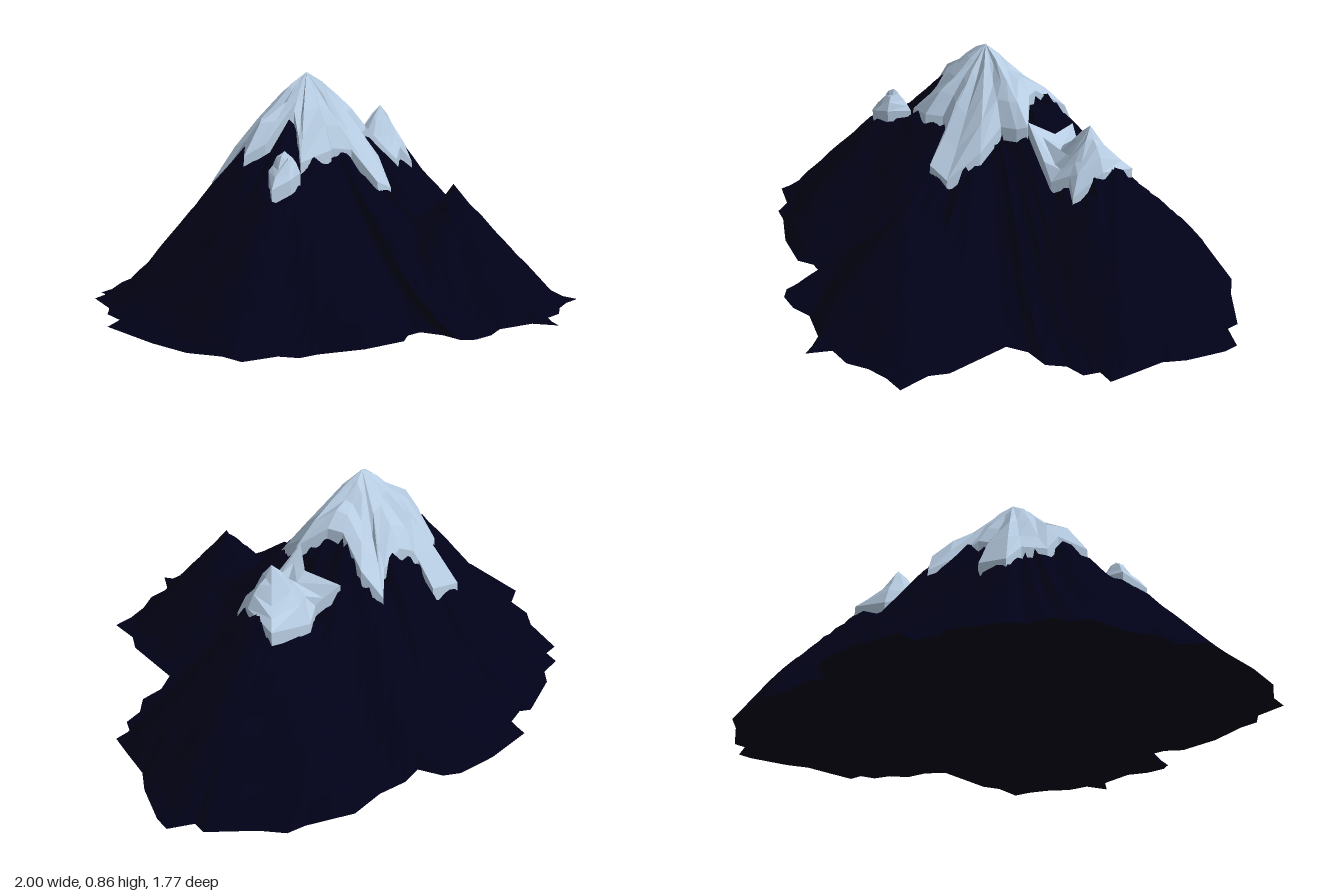
import * as THREE from 'three';

const PEAK = [-0.14, -0.11];

// Foot of the mountain as x, z pairs, clockwise from above
const FOOT = pairs([
  -0.32, -0.87, -0.13, -0.89, 0.02, -0.88, 0.08, -0.85, 0.13, -0.77, 0.21, -0.79, 0.32, -0.78, 0.45, -0.8,
  0.62, -0.74, 0.69, -0.73, 0.76, -0.66, 0.91, -0.55, 0.91, -0.5, 1, -0.46, 1, -0.4, 0.96, -0.25,
  0.92, -0.17, 0.91, -0.05, 0.9, 0.05, 0.84, 0.05, 0.82, 0.11, 0.75, 0.13, 0.7, 0.19, 0.61, 0.2,
  0.54, 0.25, 0.55, 0.5, 0.52, 0.57, 0.53, 0.69, 0.45, 0.7, 0.37, 0.73, 0.3, 0.78, 0.21, 0.79,
  0.17, 0.88, 0.12, 0.8, -0.02, 0.77, -0.1, 0.8, -0.18, 0.8, -0.22, 0.77, -0.22, 0.69, -0.25, 0.61,
  -0.31, 0.61, -0.37, 0.65, -0.53, 0.63, -0.68, 0.57, -0.75, 0.56, -0.79, 0.5, -0.91, 0.47, -0.92, 0.38,
  -0.98, 0.27, -1, 0.1, -1, -0.18, -0.92, -0.23, -0.91, -0.33, -0.86, -0.4, -0.82, -0.57, -0.76, -0.58,
  -0.75, -0.64, -0.66, -0.66, -0.62, -0.71, -0.44, -0.79, -0.4, -0.77, -0.31, -0.8,
]);

// Snow fields: summit point and ragged edge
const SNOW = [
  { name: 'mainSnowCap', top: PEAK, edge: pairs([
    -0.37, -0.42, -0.24, -0.42, -0.24, -0.33, -0.15, -0.32, -0.06, -0.34, 0.01, -0.42, 0.06, -0.35,
    0.04, -0.22, 0.07, -0.17, 0.16, -0.1, 0.13, -0.07, 0.07, -0.04, 0.08, 0.06, 0.03, 0.18, -0.06, 0.2,
    -0.1, 0.1, -0.17, 0.07, -0.22, 0.12, -0.35, 0.1, -0.3, 0.03, -0.28, -0.02, -0.4, -0.04,
    -0.47, -0.08, -0.4, -0.16, -0.41, -0.24, -0.34, -0.3]) },
  { name: 'secondSnowCap', top: [0.37, -0.23], edge: pairs([
    0.14, -0.33, 0.23, -0.3, 0.3, -0.36, 0.47, -0.36, 0.47, -0.22, 0.44, -0.11, 0.39, -0.13,
    0.33, -0.09, 0.27, -0.1, 0.15, -0.11, 0.2, -0.2]) },
  { name: 'smallSnowCap', top: [-0.45, 0.13], edge: pairs([
    -0.55, 0.18, -0.5, 0.1, -0.42, 0.09, -0.37, 0.1, -0.42, 0.18, -0.48, 0.2]) },
];

// Side summits: x, z, height, slope, extra steepness towards the front
const SUMMITS = [
  [0.37, -0.23, 0.67, 1.3, 1.25], [0.46, -0.28, 0.59, 1.15, 1.1], [0.13, 0.41, 0.455, 1.15, 1],
  [-0.45, 0.13, 0.57, 1.1, 1], [-0.29, 0.1, 0.61, 1.6, 1], [-0.24, 0.05, 0.68, 1.6, 1],
  [-0.36, -0.1, 0.68, 1.25, 1], [0.04, -0.25, 0.72, 1.35, 1],
];

// Main slope: share of the way to the foot, height
const SLOPE = [[0, 0.83], [0.18, 0.7], [0.3, 0.58], [0.47, 0.43], [0.63, 0.24], [0.74, 0.15], [0.86, 0.06], [1, 0]];

function pairs(list) {
  const out = [];
  for (let i = 0; i < list.length; i += 2) out.push([list[i], list[i + 1]]);
  return out;
}

function noise(a, b) {
  const s = Math.sin(a * 127.1 + b * 311.7) * 43758.5453;
  return s - Math.floor(s);
}

// Share of the distance from the main peak to the foot line
function footShare(x, z) {
  const dx = x - PEAK[0], dz = z - PEAK[1];
  if (Math.hypot(dx, dz) < 1e-6) return 0;
  let reach = 0;
  FOOT.forEach(([ax, az], i) => {
    const [bx, bz] = FOOT[(i + 1) % FOOT.length];
    const ex = bx - ax, ez = bz - az, det = dx * ez - dz * ex;
    if (Math.abs(det) < 1e-9) return;
    const px = ax - PEAK[0], pz = az - PEAK[1];
    const k = (px * ez - pz * ex) / det, s = (px * dz - pz * dx) / det;
    if (k > 0 && s >= -1e-6 && s <= 1 + 1e-6) reach = Math.max(reach, k);
  });
  return reach ? Math.min(1, 1 / reach) : 1;
}

// Height of the ground: main slope with ribs and a hollow front face, plus side summits
function height(x, z) {
  const t = footShare(x, z), angle = Math.atan2(z - PEAK[1], x - PEAK[0]);
  let i = 1;
  while (i < SLOPE.length - 1 && t > SLOPE[i][0]) i++;
  const [t0, h0] = SLOPE[i - 1], [t1, h1] = SLOPE[i];
  let h = h0 + (h1 - h0) * (t - t0) / (t1 - t0);
  const hollow = (0.13 + 0.25 * t) * Math.exp(-(((angle - 1.15) / 0.6) ** 2));
  const ribs = 0.035 * Math.sin(9 * angle + 2) + 0.02 * Math.sin(17 * angle + 1) - 0.01;
  h *= 1 + Math.min(1, t * 4) * (ribs - hollow);
  for (const [sx, sz, top, slope, front] of SUMMITS) {
    const dx = x - sx, dz = (z - sz) * (z > sz ? front : 1);
    const cone = top - slope * Math.hypot(dx, dz) * (1 + 0.06 * Math.sin(6 * Math.atan2(dz, dx) + 1));
    h = Math.max(h, Math.min(cone, 1.6 * (1 - t)));
  }
  return Math.max(0, h);
}

function inside(x, z, edge) {
  let hit = false;
  edge.forEach(([ax, az], i) => {
    const [bx, bz] = edge[(i + 1) % edge.length];
    if ((az > z) !== (bz > z) && x < ax + (bx - ax) * (z - az) / (bz - az)) hit = !hit;
  });
  return hit;
}

// How far the rock lies beneath the ground height, deeper under snow
function sunk(x, z) {
  return SNOW.some((s) => inside(x, z, s.edge)) ? 0.04 : 0;
}

// Rings of points from a centre out to an edge; place(x, z, ring) gives the height
function shell(centre, edge, shares, place) {
  const n = edge.length, pos = [centre[0], place(centre[0], centre[1], -1), centre[1]], index = [];
  shares.forEach((s, r) => edge.forEach(([ex, ez], i) => {
    const x = centre[0] + (ex - centre[0]) * s, z = centre[1] + (ez - centre[1]) * s;
    pos.push(x, place(x, z, r), z);
    const j = (i + 1) % n, a = 1 + r * n + i, b = 1 + r * n + j;
    if (r === 0) index.push(0, b, a);
    else index.push(a - n, b - n, b, a - n, b, a);
  }));
  const geometry = new THREE.BufferGeometry();
  geometry.setAttribute('position', new THREE.Float32BufferAttribute(pos, 3));
  geometry.setIndex(index);
  return geometry;
}

function finish(geometry, material, name) {
  const flat = geometry.toNonIndexed();
  flat.computeVertexNormals();
  const mesh = new THREE.Mesh(flat, material);
  mesh.name = name;
  return mesh;
}

export function createModel() {
  const rock = new THREE.MeshStandardMaterial({ color: 0x010118, flatShading: true });
  rock.name = 'dark rock';
  const snow = new THREE.MeshStandardMaterial({ color: 0xb7cce2, flatShading: true });
  snow.name = 'pale snow';
  const group = new THREE.Group();
  group.name = 'mountain';

  // Rock slopes
  const spokes = FOOT.flatMap((p, i) => {
    const q = FOOT[(i + 1) % FOOT.length];
    return [p, [(p[0] + q[0]) / 2, (p[1] + q[1]) / 2]];
  });
  const rings = Array.from({ length: 20 }, (_, i) => (i + 1) / 20);
  const slopes = shell(PEAK, spokes, rings, (x, z, r) => {
    if (r === rings.length - 1) return 0;
    return Math.max(0.002, height(x, z) - noise(x, z) * 0.008 - sunk(x, z));
  });

  // Bring the nearest point onto each side summit so it stays sharp
  const p = slopes.attributes.position;
  for (const [sx, sz, top] of SUMMITS) {
    let best = 1;
    for (let i = 1; i < p.count; i++) {
      if (Math.hypot(p.getX(i) - sx, p.getZ(i) - sz) < Math.hypot(p.getX(best) - sx, p.getZ(best) - sz)) best = i;
    }
    p.setXYZ(best, sx, top - sunk(sx, sz), sz);
  }
  group.add(finish(slopes, rock, 'rockSlopes'));

  // Flat underside
  const base = shell(PEAK, [...FOOT].reverse(), [1], () => 0);
  group.add(finish(base, rock, 'underside'));

  // Snow fields with a thick, ragged rim
  for (const { name, top, edge } of SNOW) {
    const cap = shell(top, edge, [0.25, 0.5, 0.75, 1, 1.01], (x, z, r) => {
      const lift = [0.03, 0.03, 0.03, 0.022, -0.03][Math.max(0, r)];
      const rough = r >= 0 && r < 3 ? (noise(x, z) - 0.4) * 0.025 : 0;
      return height(x, z) + lift + rough;
    });
    group.add(finish(cap, snow, name));
  }
  return group;
}
